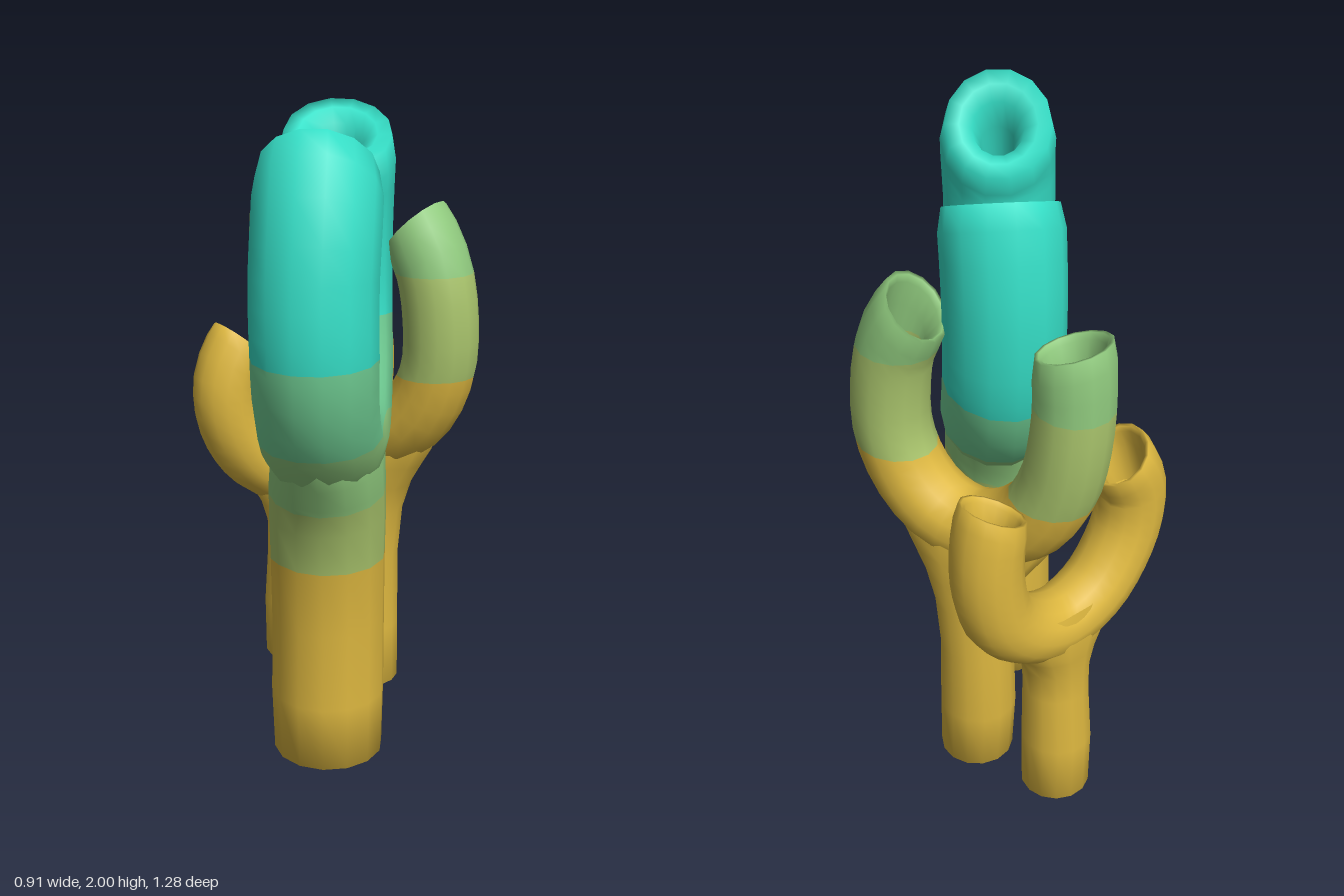
import * as THREE from 'three';

const SIDES = 14;
const V = (a) => new THREE.Vector3(...a);
const mat = (name, color) => {
  const m = new THREE.MeshStandardMaterial({ color });
  m.name = name;
  return m;
};

// Skin a list of rings { c, u, v, ru, rv } into a smooth tube, with optional fan caps
function skin(rings, capStart = false, capEnd = false) {
  const pos = [], index = [];
  for (const { c, u, v, ru, rv } of rings) {
    for (let j = 0; j < SIDES; j++) {
      const a = (j / SIDES) * Math.PI * 2;
      const p = c.clone().addScaledVector(u, Math.cos(a) * ru).addScaledVector(v, Math.sin(a) * rv);
      pos.push(p.x, p.y, p.z);
    }
  }
  const at = (i, j) => i * SIDES + (j % SIDES);
  for (let i = 0; i < rings.length - 1; i++) {
    for (let j = 0; j < SIDES; j++) {
      const a = at(i, j), b = at(i, j + 1), c = at(i + 1, j + 1), d = at(i + 1, j);
      index.push(a, b, d, b, c, d);
    }
  }
  const cap = (i, flip) => {
    const k = pos.length / 3;
    pos.push(...rings[i].c.toArray());
    for (let j = 0; j < SIDES; j++) index.push(k, at(i, j + (flip ? 1 : 0)), at(i, j + (flip ? 0 : 1)));
  };
  if (capStart) cap(0, true);
  if (capEnd) cap(rings.length - 1, false);
  const g = new THREE.BufferGeometry();
  g.setAttribute('position', new THREE.Float32BufferAttribute(pos, 3));
  g.setIndex(index);
  g.computeVertexNormals();
  return g;
}

// Horizontal direction from the first tip to the second
const forkDirection = (path) => V(path[path.length - 1]).sub(V(path[0])).setY(0).normalize();

// Trunk from [x, y, z, radius, radius along the fork] stations, closed at the foot
function trunk({ stations, path }) {
  const u = forkDirection(path);
  const v = new THREE.Vector3().crossVectors(V([0, 1, 0]), u);
  return skin(stations.map(([x, y, z, r, rf = r]) => ({ c: V([x, y, z]), u, v, ru: rf, rv: r })), true);
}

// Forked pair of arms: one tube from tip to tip, each tip rolling into a hollow mouth
function arms({ path, radius, hole, tilt }) {
  const curve = new THREE.CatmullRomCurve3(path.map(V), false, 'centripetal');
  const d = forkDirection(path);
  const side = new THREE.Vector3().crossVectors(d, V([0, 1, 0]));
  const ring = (t, scale) => {
    const w0 = curve.getTangentAt(t);
    const near = 1 - THREE.MathUtils.smoothstep(Math.min(t, 1 - t), 0, 0.14);
    const w = w0.clone().addScaledVector(d, -near * (t < 0.5 ? tilt[0] : tilt[1])).normalize();
    const u = side.clone().addScaledVector(w, -side.dot(w)).normalize();
    const v = new THREE.Vector3().crossVectors(w, u);
    const r = radius * scale;
    return { c: curve.getPointAt(t), u, v, ru: r, rv: r / Math.max(0.75, w.dot(w0)) };
  };
  const mouth = [[0.13, hole * 0.9], [0.05, hole], [0.012, hole + 0.15], [0, (hole + 1.05) / 2]];
  const rings = mouth.map(([t, s]) => ring(t, s));
  const N = 28;
  for (let i = 0; i <= N; i++) rings.push(ring(i / N, i === 0 || i === N ? 0.92 : 1));
  rings.push(...mouth.slice().reverse().map(([t, s]) => ring(1 - t, s)));
  const last = rings.length - 1;
  // Floors of the two hollows
  const floors = [skin([rings[0]], true), skin([rings[last]], false, true)];
  return { tube: skin(rings), floors };
}

// Keep the part of a polygon where sign * (level - h) >= 0
function clip(poly, h, sign, level) {
  const out = [];
  poly.forEach((a, i) => {
    const b = poly[(i + 1) % poly.length];
    const da = sign * (level(a.p) - h), db = sign * (level(b.p) - h);
    if (da >= 0) out.push(a);
    if (da * db < 0) {
      const t = da / (da - db);
      out.push({ p: a.p.clone().lerp(b.p, t), n: a.n.clone().lerp(b.n, t) });
    }
  });
  return out;
}

// Cut geometry into colour bands at the given heights
function addBands(geometry, heights, level, buckets) {
  const g = geometry.toNonIndexed();
  const P = g.attributes.position, Nn = g.attributes.normal;
  const edges = [-10, ...heights, 10];
  for (let i = 0; i < P.count; i += 3) {
    const tri = [0, 1, 2].map((k) => ({
      p: new THREE.Vector3().fromBufferAttribute(P, i + k),
      n: new THREE.Vector3().fromBufferAttribute(Nn, i + k),
    }));
    for (let b = 0; b < edges.length - 1; b++) {
      const poly = clip(clip(tri, edges[b], 1, level), edges[b + 1], -1, level);
      for (let k = 1; k < poly.length - 1; k++) {
        for (const q of [poly[0], poly[k], poly[k + 1]]) {
          buckets[b].p.push(q.p.x, q.p.y, q.p.z);
          buckets[b].n.push(q.n.x, q.n.y, q.n.z);
        }
      }
    }
  }
}

function coral(name, spec, materials) {
  const group = new THREE.Group();
  group.name = name;
  const level = (p) => p.y + Math.max(0, 0.2 - p.z) * spec.slope;
  const buckets = [...spec.bands, 0].map(() => ({ p: [], n: [] }));
  const { tube, floors } = arms(spec);
  addBands(trunk(spec), spec.bands, level, buckets);
  addBands(tube, spec.bands, level, buckets);
  floors.forEach((f) => addBands(f, [], level, buckets));
  buckets.forEach((b, i) => {
    const g = new THREE.BufferGeometry();
    g.setAttribute('position', new THREE.Float32BufferAttribute(b.p, 3));
    g.setAttribute('normal', new THREE.Float32BufferAttribute(b.n, 3));
    g.normalizeNormals();
    const mesh = new THREE.Mesh(g, materials[i]);
    mesh.name = `${name} ${materials[i].name} band`;
    group.add(mesh);
  });
  return group;
}

export function createModel() {
  const materials = [
    mat('gold', 0xdeb840), mat('olive', 0xa9c46c), mat('leaf green', 0x90ca7e),
    mat('mint', 0x72d196), mat('turquoise', 0x36e0c8),
  ];
  const model = new THREE.Group();
  model.name = 'tubeCoralCluster';

  model.add(coral('largeCoral', {
    slope: 0.22, bands: [0.665, 0.88, 1.1, 1.38], radius: 0.178, hole: 0.3, tilt: [0.5, 0.36],
    stations: [[-0.113, 0, 0.175, 0.17], [-0.11, 0.2, 0.165, 0.176], [-0.11, 0.45, 0.17, 0.174],
      [-0.115, 0.66, 0.18, 0.175, 0.182], [-0.117, 0.8, 0.185, 0.177, 0.215], [-0.12, 0.9, 0.19, 0.175, 0.255],
      [-0.12, 0.98, 0.195, 0.17, 0.305], [-0.12, 1.06, 0.195, 0.155, 0.34]],
    path: [[-0.22, 1.87, 0.365], [-0.255, 1.74, 0.43], [-0.275, 1.58, 0.456], [-0.275, 1.38, 0.46],
      [-0.25, 1.22, 0.41], [-0.19, 1.09, 0.31], [-0.11, 1.04, 0.18], [-0.04, 1.08, 0.05],
      [0.015, 1.19, -0.06], [0.045, 1.34, -0.13], [0.055, 1.52, -0.155], [0.058, 1.7, -0.153], [0.052, 1.88, -0.125]],
  }, materials));

  model.add(coral('mediumCoral', {
    slope: 0.06, bands: [1.135, 1.465], radius: 0.119, hole: 0.6, tilt: [0.45, 0.28],
    stations: [[0.185, 0, -0.21, 0.116], [0.185, 0.2, -0.22, 0.12], [0.19, 0.45, -0.225, 0.115],
      [0.195, 0.62, -0.215, 0.116, 0.122], [0.195, 0.72, -0.21, 0.118, 0.155], [0.193, 0.8, -0.21, 0.118, 0.205],
      [0.19, 0.87, -0.21, 0.114, 0.25], [0.19, 0.94, -0.21, 0.1, 0.28]],
    path: [[0.285, 1.59, -0.055], [0.318, 1.46, 0.005], [0.333, 1.31, 0.027], [0.332, 1.15, 0.02],
      [0.3, 1.01, -0.03], [0.25, 0.92, -0.11], [0.19, 0.89, -0.21], [0.13, 0.93, -0.31],
      [0.08, 1.02, -0.4], [0.045, 1.15, -0.455], [0.03, 1.3, -0.48], [0.022, 1.45, -0.482], [0.025, 1.6, -0.475]],
  }, materials));

  model.add(coral('smallCoral', {
    slope: 0, bands: [], radius: 0.106, hole: 0.62, tilt: [0.3, 0.35],
    stations: [[0.045, 0, -0.472, 0.108], [0.045, 0.2, -0.472, 0.11], [0.048, 0.4, -0.465, 0.103],
      [0.052, 0.5, -0.467, 0.104, 0.107], [0.056, 0.57, -0.472, 0.106, 0.135], [0.058, 0.64, -0.48, 0.106, 0.18],
      [0.06, 0.7, -0.482, 0.1, 0.22], [0.06, 0.75, -0.482, 0.09, 0.24]],
    path: [[0.307, 1.195, -0.532], [0.326, 1.07, -0.534], [0.322, 0.94, -0.532], [0.285, 0.81, -0.525],
      [0.19, 0.71, -0.508], [0.06, 0.67, -0.482], [-0.075, 0.72, -0.46], [-0.165, 0.82, -0.442],
      [-0.213, 0.94, -0.433], [-0.21, 1.06, -0.434], [-0.157, 1.17, -0.444]],
  }, materials));

  return model;
}
